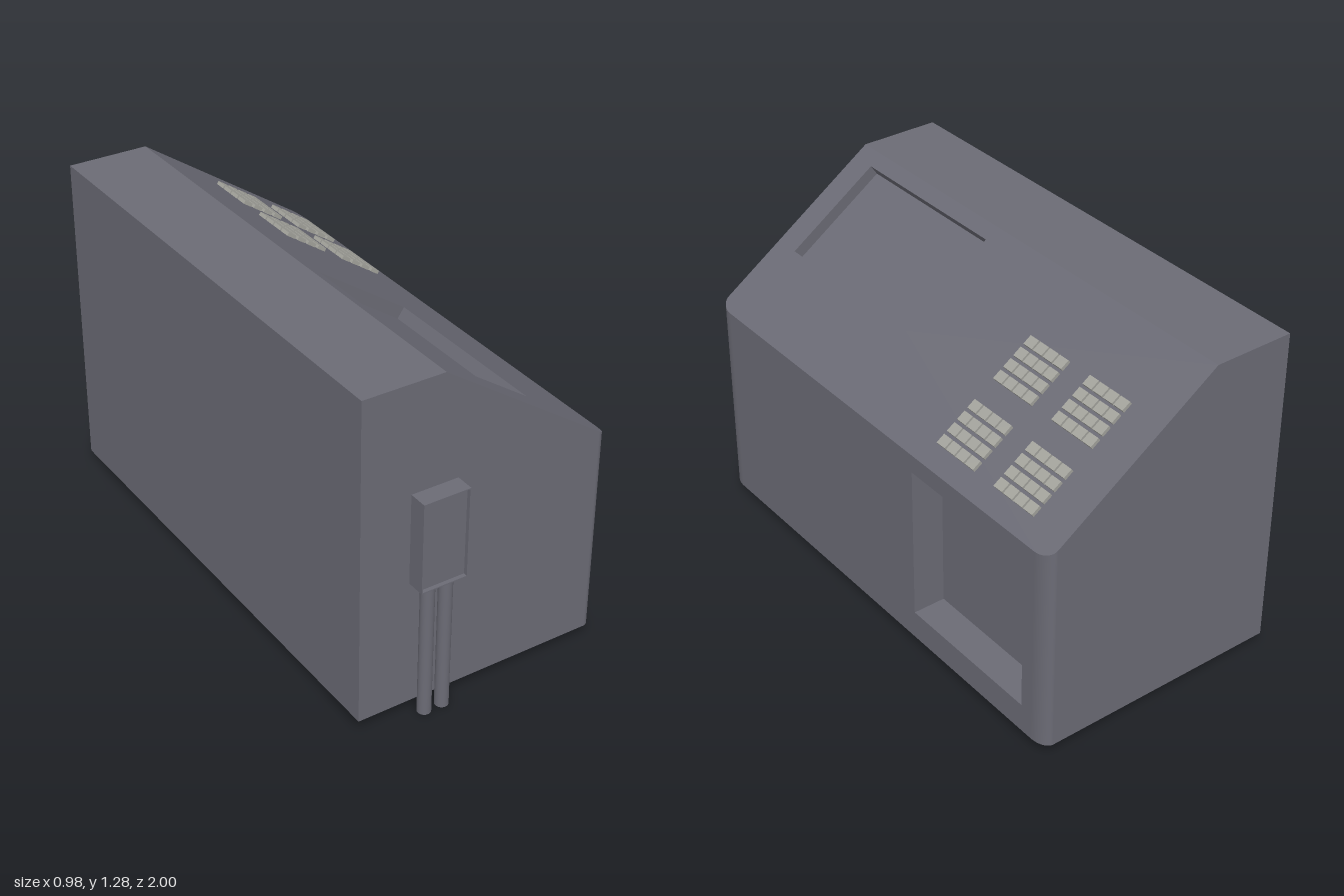
import * as THREE from 'three';

// Main dimensions of the console
const X0 = -0.49, X1 = 0.49, XR = -0.18;          // back wall, control side, top ridge
const Z0 = -1, Z1 = 0.93, Y0 = 0.045, YT = 1.285, YS = 0.825;
const RX = 0.04, RZ = 0.07;                       // corner rounding
const slope = Math.atan2(YT - YS, X1 - XR);
const topAt = x => x <= XR ? YT : YT - (x - XR) * Math.tan(slope);
const along = x => (X1 - x) / Math.cos(slope);    // distance up the slope from its foot

const bodyMat = new THREE.MeshStandardMaterial({ color: 0x6b6b75 });
const keyMat = new THREE.MeshStandardMaterial({ color: 0xa3a39c });

const shapeOf = pts => new THREE.Shape(pts.map(p => new THREE.Vector2(p[0], p[1])));
const rect = (a, b, c, d) => [[a, b], [c, b], [c, d], [a, d]];

// A group whose local x and y axes run along u and v
function plane(name, origin, u, v) {
  const g = new THREE.Group();
  const U = new THREE.Vector3(...u), V = new THREE.Vector3(...v);
  const m = new THREE.Matrix4().makeBasis(U, V, U.clone().cross(V)).setPosition(...origin);
  m.decompose(g.position, g.quaternion, g.scale);
  g.name = name;
  return g;
}

function addMesh(parent, name, geo, mat = bodyMat) {
  const m = new THREE.Mesh(geo, mat);
  m.name = name;
  parent.add(m);
  return m;
}

// Open box seen from inside, sunk below the local z = 0 plane
function recess(a, b, c, d, depth) {
  let geo = new THREE.BoxGeometry(c - a, d - b, depth);
  const idx = Array.from(geo.index.array);
  idx.splice(24, 6);
  geo.setIndex(idx.reverse());
  geo = geo.toNonIndexed();
  geo.computeVertexNormals();
  return geo.translate((a + c) / 2, (b + d) / 2, -depth / 2);
}

// Flat panel, with an optional rectangular sunken bay
function addPanel(parent, name, frame, pts, bay, depth) {
  const shape = shapeOf(pts);
  if (bay) shape.holes.push(shapeOf(rect(...bay)));
  const g = plane(name, ...frame);
  addMesh(g, name + 'Face', new THREE.ShapeGeometry(shape));
  if (bay) addMesh(g, name + 'Recess', recess(...bay, depth));
  parent.add(g);
  return g;
}

export function createModel() {
  const model = new THREE.Group();
  model.name = 'controlConsole';
  const body = new THREE.Group();
  body.name = 'body';
  model.add(body);

  // Rounded edge of the footprint on the control side
  const N = 12, curve = [];
  for (let i = 0; i <= N; i++) {
    const t = i / N * Math.PI / 2;
    curve.push([X1 - RX + RX * Math.sin(t), Z1 - RZ + RZ * Math.cos(t)]);
  }
  const mirrored = curve.map(([x, z]) => [x, Z0 + Z1 - z]).reverse();
  const edge = [...curve, ...mirrored];

  // End walls, back, roof and underside
  const xe = X1 - RX;
  const profile = [[X0, Y0], [xe, Y0], [xe, topAt(xe)], [XR, YT], [X0, YT]];
  addPanel(body, 'frontWall', [[0, 0, Z1], [1, 0, 0], [0, 1, 0]], profile);
  addPanel(body, 'rearWall', [[0, 0, Z0], [-1, 0, 0], [0, 1, 0]], profile.map(([x, y]) => [-x, y]));
  addPanel(body, 'backWall', [[X0, 0, 0], [0, 0, 1], [0, 1, 0]], rect(Z0, Y0, Z1, YT));
  addPanel(body, 'roof', [[0, YT, 0], [1, 0, 0], [0, 0, -1]], rect(X0, -Z1, XR, -Z0));
  addPanel(body, 'underside', [[0, Y0, 0], [1, 0, 0], [0, 0, 1]], [[X0, Z1], ...edge, [X0, Z0]]);

  // Control side with its deep square bay
  addPanel(body, 'controlSide', [[X1, 0, 0], [0, 0, -1], [0, 1, 0]],
    rect(-Z1 + RZ, Y0, -Z0 - RZ, YS), [0.28, 0.155, 0.88, 0.755], 0.125);

  // Sloping top with the screen bay
  const ridge = along(XR);
  const slopeTop = addPanel(body, 'slopingTop',
    [[X1, YS, 0], [0, 0, -1], [-Math.cos(slope), Math.sin(slope), 0]],
    [[-Z1, ridge], ...edge.map(([x, z]) => [-z, along(x)]), [-Z0, ridge]],
    [-0.825, along(0.22), -0.125, along(-0.13)], 0.046);

  // Rounded vertical corners, trimmed by the slope
  for (const [name, zc, start] of [['frontCorner', Z1 - RZ, 0], ['rearCorner', Z0 + RZ, Math.PI / 2]]) {
    const geo = new THREE.CylinderGeometry(1, 1, 1, N, 1, true, start, Math.PI / 2);
    geo.scale(RX, 1, RZ).translate(X1 - RX, 0, zc);
    const p = geo.attributes.position;
    for (let i = 0; i < p.count; i++) p.setY(i, p.getY(i) > 0 ? topAt(p.getX(i)) : Y0);
    addMesh(body, name, geo);
  }

  // Four keypads of sixteen raised keys
  const keyGeo = new THREE.BoxGeometry(0.044, 0.038, 0.014);
  for (const x of [0.109, 0.342]) for (const z of [-0.437, -0.742]) {
    const pad = new THREE.Group();
    pad.name = 'keypad';
    pad.position.set(-z, along(x), 0.006);
    for (let i = 0; i < 4; i++) for (let j = 0; j < 4; j++)
      addMesh(pad, 'key', keyGeo, keyMat).position.set((i - 1.5) * 0.051, (j - 1.5) * 0.051, 0);
    slopeTop.add(pad);
  }

  // Junction box with a thin rim, fed by two pipes
  const junction = new THREE.Group();
  junction.name = 'junctionBox';
  junction.position.set(-0.21, 0.706, Z1);
  const w = 0.09, h = 0.172, r = 0.004;
  addMesh(junction, 'boxBody', new THREE.BoxGeometry(2 * w, 2 * h, 0.055).translate(0, 0, 0.0275));
  const rim = shapeOf(rect(-w, -h, w, h));
  rim.holes.push(shapeOf(rect(-w + r, -h + r, w - r, h - r)));
  addMesh(junction, 'boxRim', new THREE.ExtrudeGeometry(rim, { depth: 0.015, bevelEnabled: false }))
    .position.z = 0.055;
  model.add(junction);
  for (const x of [-0.245, -0.174])
    addMesh(model, 'pipe', new THREE.CylinderGeometry(0.025, 0.025, 0.535, 24)).position.set(x, 0.2675, 0.955);

  return model;
}
